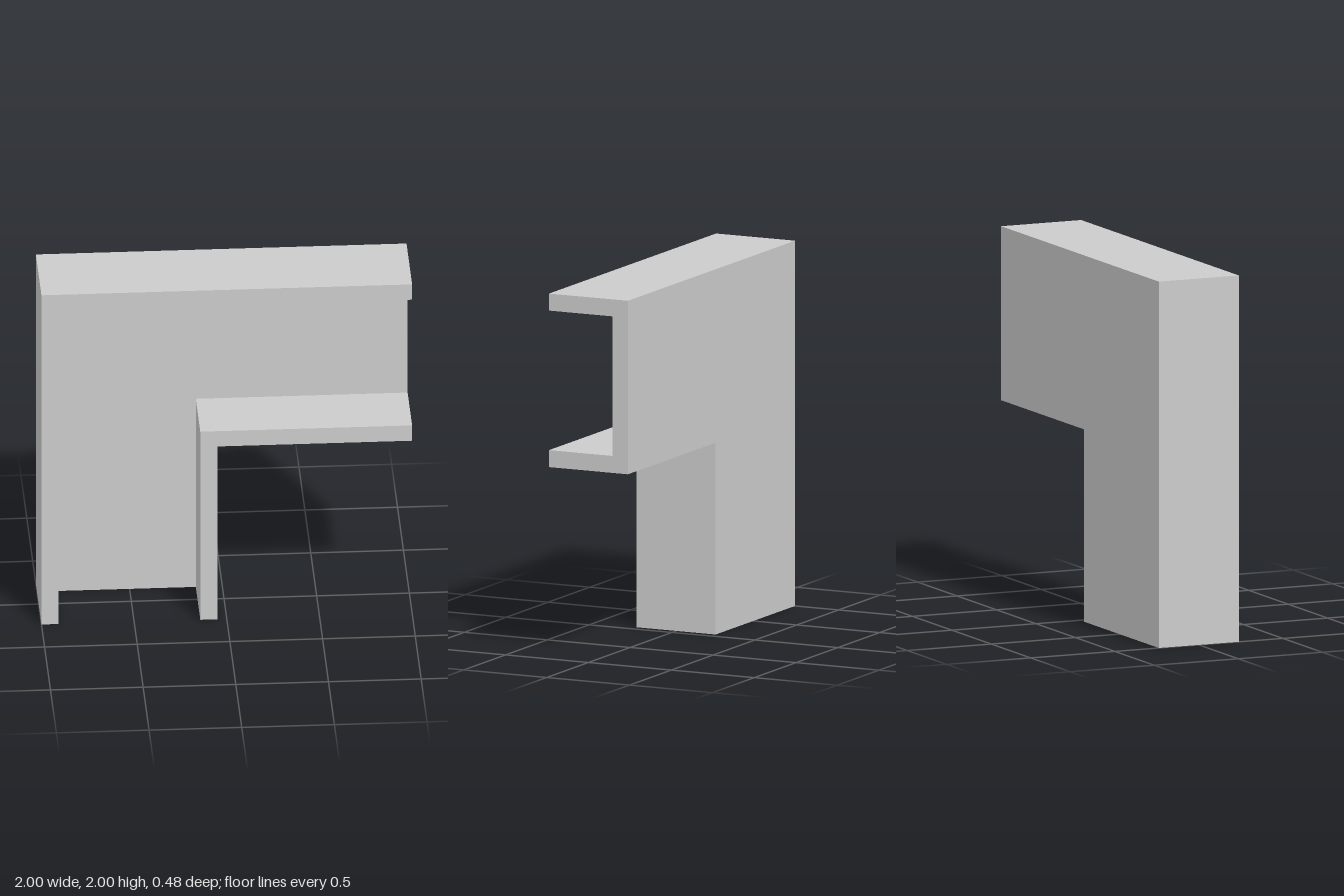
import * as THREE from 'three';

const HALF_DEPTH = 0.238;
const WALL = 0.093;       // sheet thickness
const CORNER_X = -0.05;   // inside corner of the elbow
const CORNER_Y = 1.05;

export function createModel() {
  const group = new THREE.Group();
  group.name = 'channelElbow';
  const material = new THREE.MeshStandardMaterial({ color: 0xcccccc, flatShading: true });

  // L-shaped strip between an outer corner (x0, y0) and an inner corner (x1, y1),
  // running down to y = 0 and out to x = 1
  function addElbow(name, x0, y0, x1, y1, zBack, zFront) {
    const outline = [[x0, 0], [x1, 0], [x1, y1], [1, y1], [1, y0], [x0, y0]];
    const shape = new THREE.Shape(outline.map(([x, y]) => new THREE.Vector2(x, y)));
    const geometry = new THREE.ExtrudeGeometry(shape, { depth: zFront - zBack, bevelEnabled: false });
    geometry.translate(0, 0, zBack);
    const mesh = new THREE.Mesh(geometry, material);
    mesh.name = name;
    group.add(mesh);
  }

  const floor = -HALF_DEPTH + WALL;

  // Back plate closing the channel
  addElbow('backPlate', -1, 2, CORNER_X, CORNER_Y, -HALF_DEPTH, floor);
  // Flange around the outside of the bend
  addElbow('outerFlange', -1, 2, -1 + WALL, 2 - WALL, floor, HALF_DEPTH);
  // Flange around the inside of the bend
  addElbow('innerFlange', CORNER_X - WALL, CORNER_Y + WALL, CORNER_X, CORNER_Y, floor, HALF_DEPTH);

  return group;
}
